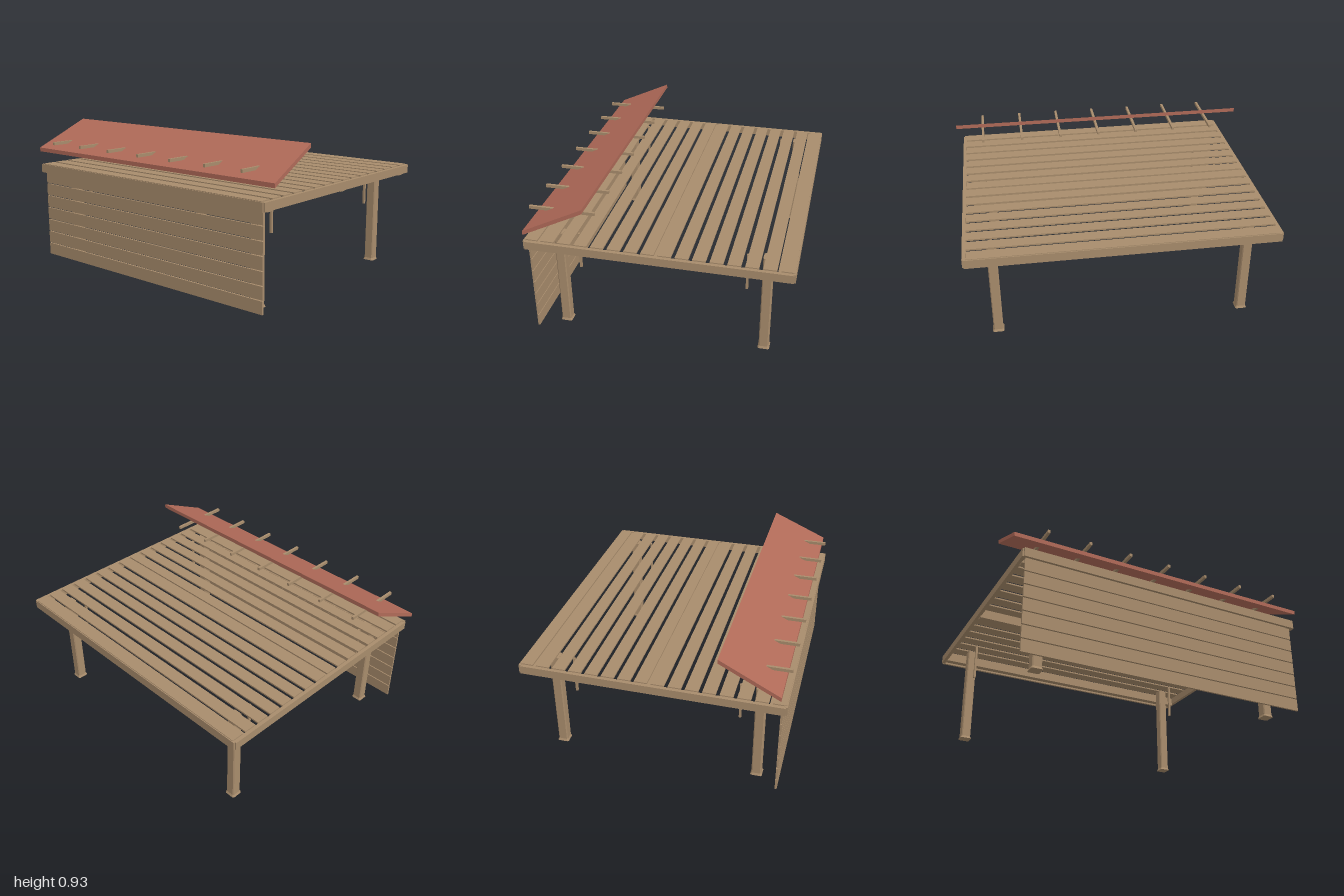
import * as THREE from 'three';

const wood = new THREE.MeshStandardMaterial({ color: 0xa88c6c, flatShading: true });
const red = new THREE.MeshStandardMaterial({ color: 0xb06a58, flatShading: true });

// Box given by its minimum and maximum corners
function box(name, x0, x1, y0, y1, z0, z1) {
  const g = new THREE.BoxGeometry(x1 - x0, y1 - y0, z1 - z0);
  const m = new THREE.Mesh(g, wood);
  m.name = name;
  m.position.set((x0 + x1) / 2, (y0 + y1) / 2, (z0 + z1) / 2);
  return m;
}

// Upright square prism with chamfered corners; the bottom may be scaled out
function chamferedPrism(half, chamfer, y0, y1, bottomScale) {
  const a = half, b = half - chamfer;
  const pts = [[a, -b], [a, b], [b, a], [-b, a], [-a, b], [-a, -b], [-b, -a], [b, -a]];
  const shape = new THREE.Shape(pts.map(p => new THREE.Vector2(...p)));
  const g = new THREE.ExtrudeGeometry(shape, { depth: y1 - y0, bevelEnabled: false });
  g.rotateX(-Math.PI / 2).translate(0, y0, 0);
  const p = g.attributes.position;
  for (let i = 0; i < p.count; i++) {
    if (p.getY(i) < y0 + 0.001) {
      p.setX(i, p.getX(i) * bottomScale);
      p.setZ(i, p.getZ(i) * bottomScale);
    }
  }
  g.computeVertexNormals();
  return g;
}

export function createModel() {
  const model = new THREE.Group();
  model.name = 'deckWithAwning';

  // Deck boards
  const deck = new THREE.Group();
  deck.name = 'deckBoards';
  for (let i = 0; i < 16; i++) {
    const z = -0.755 + i * 0.1007;
    deck.add(box('deckBoard', -0.93, 0.93, 0.65, 0.66, z - 0.039, z + 0.039));
  }
  model.add(deck);

  // Rim around the deck
  const rim = new THREE.Group();
  rim.name = 'rim';
  for (const s of [-1, 1]) {
    const x = s * 0.942, z = s * 0.792;
    rim.add(box('sideRim', x - 0.011, x + 0.011, 0.602, 0.654, -0.79, 0.79));
    rim.add(box('endRim', -0.945, 0.945, 0.6, 0.656, z - 0.008, z + 0.008));
  }
  model.add(rim);

  // Joists below the boards
  for (const z of [-0.72, 0, 0.72])
    model.add(box('joist', -0.935, 0.935, 0.591, 0.65, z - 0.021, z + 0.021));

  // Posts with flared feet, and a hanging strut beside each
  for (const sx of [-1, 1]) for (const sz of [-1, 1]) {
    const post = new THREE.Group();
    post.name = 'post';
    const shaft = new THREE.Mesh(chamferedPrism(0.03, 0.006, 0.015, 0.65, 1), wood);
    shaft.name = 'postShaft';
    const foot = new THREE.Mesh(chamferedPrism(0.03, 0.006, 0, 0.015, 1.2), wood);
    foot.name = 'postFoot';
    post.add(shaft, foot);
    post.position.set(sx * 0.785, 0, sz * 0.63);
    model.add(post);
    const x = sx * 0.787, z = sz * 0.511;
    model.add(box('strut', x - 0.007, x + 0.007, 0.41, 0.65, z - 0.007, z + 0.007));
  }

  // Front siding
  const siding = new THREE.Group();
  siding.name = 'siding';
  for (let i = 0; i < 7; i++) {
    const y = 0.025 + i * 0.0835;
    siding.add(box('sidingBoard', -0.93, 0.93, y, y + 0.077, 0.762, 0.774));
  }
  model.add(siding);

  // Sloping awning, slightly narrower at its upper edge
  const g = new THREE.BoxGeometry(2, 0.026, 0.36);
  const p = g.attributes.position;
  for (let i = 0; i < p.count; i++) {
    const back = p.getZ(i) < 0;
    p.setX(i, Math.sign(p.getX(i)) * (back ? 0.975 : 1));
    p.setY(i, p.getY(i) + (back ? 0.917 : 0.747));
    p.setZ(i, back ? 0.408 : 0.768);
  }
  g.computeVertexNormals();
  const awning = new THREE.Mesh(g, red);
  awning.name = 'awning';
  model.add(awning);

  // Rods carrying the awning
  for (let i = -3; i <= 3; i++) {
    const x = i * 0.2675;
    model.add(box('awningRod', x - 0.008, x + 0.008, 0.797, 0.816, 0.395, 0.8));
  }

  return model;
}
